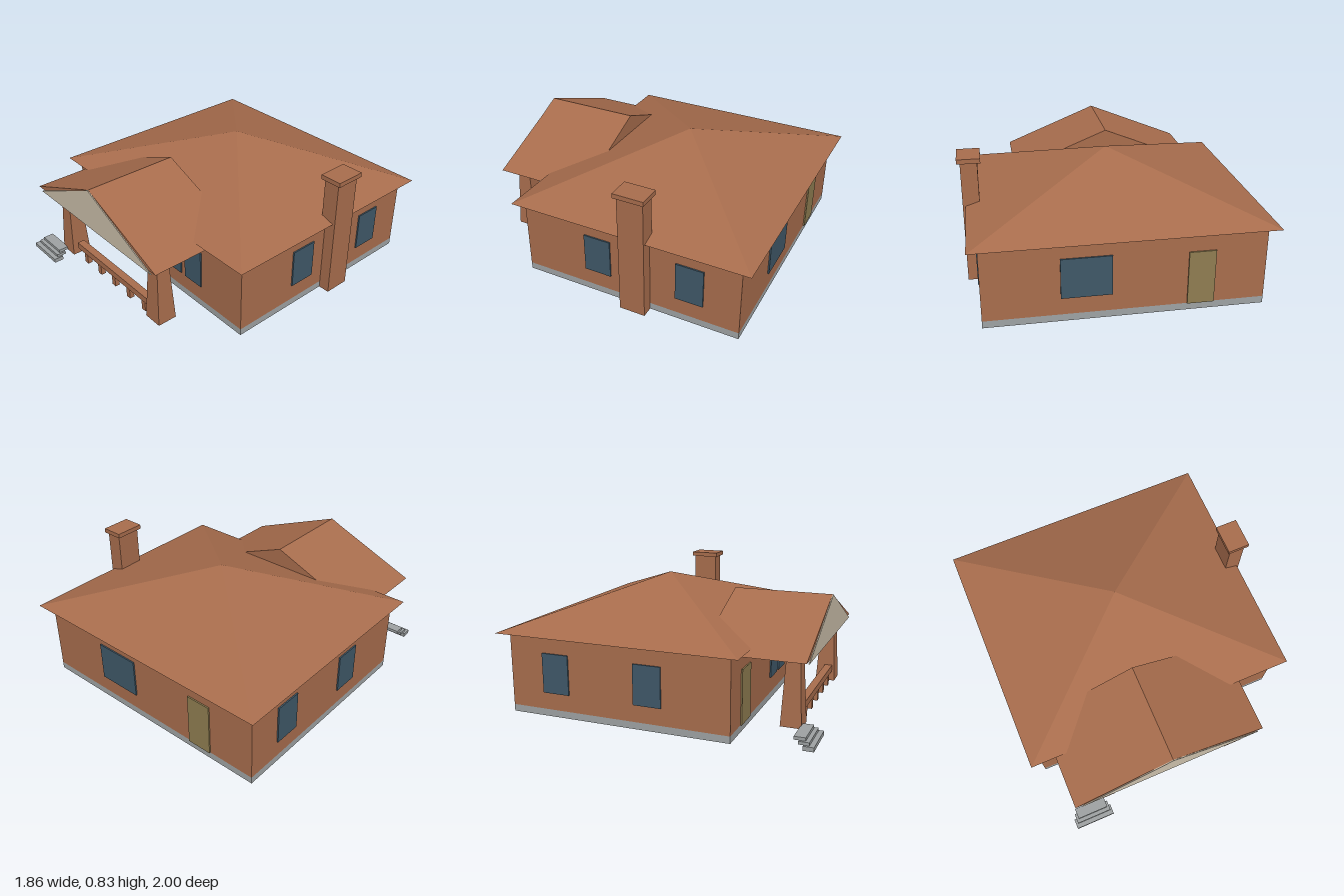
import * as THREE from 'three';

const mat = (name, color) => {
  const m = new THREE.MeshStandardMaterial({ color });
  m.name = name;
  return m;
};

export function createModel() {
  const house = new THREE.Group();
  house.name = 'house';
  const brick = mat('brick', 0xa86d4d);
  const stone = mat('stone', 0x9ea2a3);
  const cream = mat('cream', 0xcbbfab);
  const glass = mat('glass', 0x3f5868);
  const wood = mat('door wood', 0x8f7d51);

  const add = (name, geometry, material) => {
    const mesh = new THREE.Mesh(geometry, material);
    mesh.name = name;
    house.add(mesh);
    return mesh;
  };
  // Box given by its limits on each axis
  const box = (name, material, x0, x1, y0, y1, z0, z1) => {
    const g = new THREE.BoxGeometry(x1 - x0, y1 - y0, z1 - z0);
    g.translate((x0 + x1) / 2, (y0 + y1) / 2, (z0 + z1) / 2);
    return add(name, g, material);
  };
  // Four-sided tapered solid with flat faces, widths at top and bottom
  const taper = (name, x, z, y0, y1, top, wx, wz) => {
    let g = new THREE.CylinderGeometry(top * Math.SQRT1_2, Math.SQRT1_2, 1, 4);
    g.rotateY(Math.PI / 4);
    g.scale(wx, y1 - y0, wz);
    g.translate(x, (y0 + y1) / 2, z);
    g = g.toNonIndexed();
    g.computeVertexNormals();
    return add(name, g, brick);
  };
  // Triangular gable prism
  const gable = (name, material, x0, x1, xr, y0, yr, z0, z1) => {
    const s = new THREE.Shape();
    s.moveTo(x0, y0);
    s.lineTo(x1, y0);
    s.lineTo(xr, yr);
    s.closePath();
    const g = new THREE.ExtrudeGeometry(s, { depth: z1 - z0, bevelEnabled: false });
    g.translate(0, 0, z0);
    return add(name, g, material);
  };

  // Body
  box('foundation', stone, -0.87, 0.83, 0, 0.045, -0.93, 0.53);
  box('walls', brick, -0.87, 0.83, 0.045, 0.52, -0.93, 0.53);
  taper('mainRoof', -0.02, -0.205, 0.52, 0.815, 0, 1.82, 1.59);

  // Chimney
  box('chimney', brick, 0.8, 0.905, 0, 0.805, -0.35, -0.18);
  box('chimneyCap', brick, 0.78, 0.925, 0.805, 0.835, -0.365, -0.165);

  // Porch roof, its front panel and columns
  gable('porchRoof', brick, -0.765, 0.545, -0.11, 0.49, 0.756, 0.295, 0.93);
  gable('gablePanel', cream, -0.72, 0.51, -0.11, 0.475, 0.755, 0.93, 0.936);
  for (const x of [-0.55, 0.417]) taper('porchColumn', x, 0.815, 0.045, 0.44, 0.68, 0.13, 0.13);

  // Railing on short posts
  box('porchRail', brick, -0.45, 0.355, 0.11, 0.155, 0.81, 0.86);
  for (let i = 0; i < 5; i++) {
    const x = -0.367 + i * 0.1635;
    box('railPost', brick, x - 0.018, x + 0.018, 0.03, 0.11, 0.82, 0.852);
  }

  // Front steps
  box('lowerStep', stone, -0.81, -0.545, 0, 0.027, 0.935, 1);
  box('middleStep', stone, -0.795, -0.557, 0.027, 0.046, 0.905, 0.97);
  box('upperStep', stone, -0.78, -0.57, 0.046, 0.066, 0.875, 0.945);

  // Windows
  const t = 0.009;
  for (const x of [-0.075, 0.12, 0.315]) box('frontWindow', glass, x, x + 0.155, 0.155, 0.41, 0.53, 0.53 + t);
  for (const z of [-0.7, -0.08]) {
    box('leftWindow', glass, 0.83, 0.83 + t, 0.155, 0.41, z, z + 0.18);
    box('rightWindow', glass, -0.87 - t, -0.87, 0.155, 0.41, z, z + 0.18);
  }
  box('backWindow', glass, 0.065, 0.37, 0.155, 0.41, -0.93 - t, -0.93);

  // Doors
  box('frontDoor', wood, -0.685, -0.52, 0.045, 0.39, 0.53, 0.53 + t);
  box('backDoor', wood, -0.555, -0.39, 0.045, 0.39, -0.93 - t, -0.93);

  return house;
}
